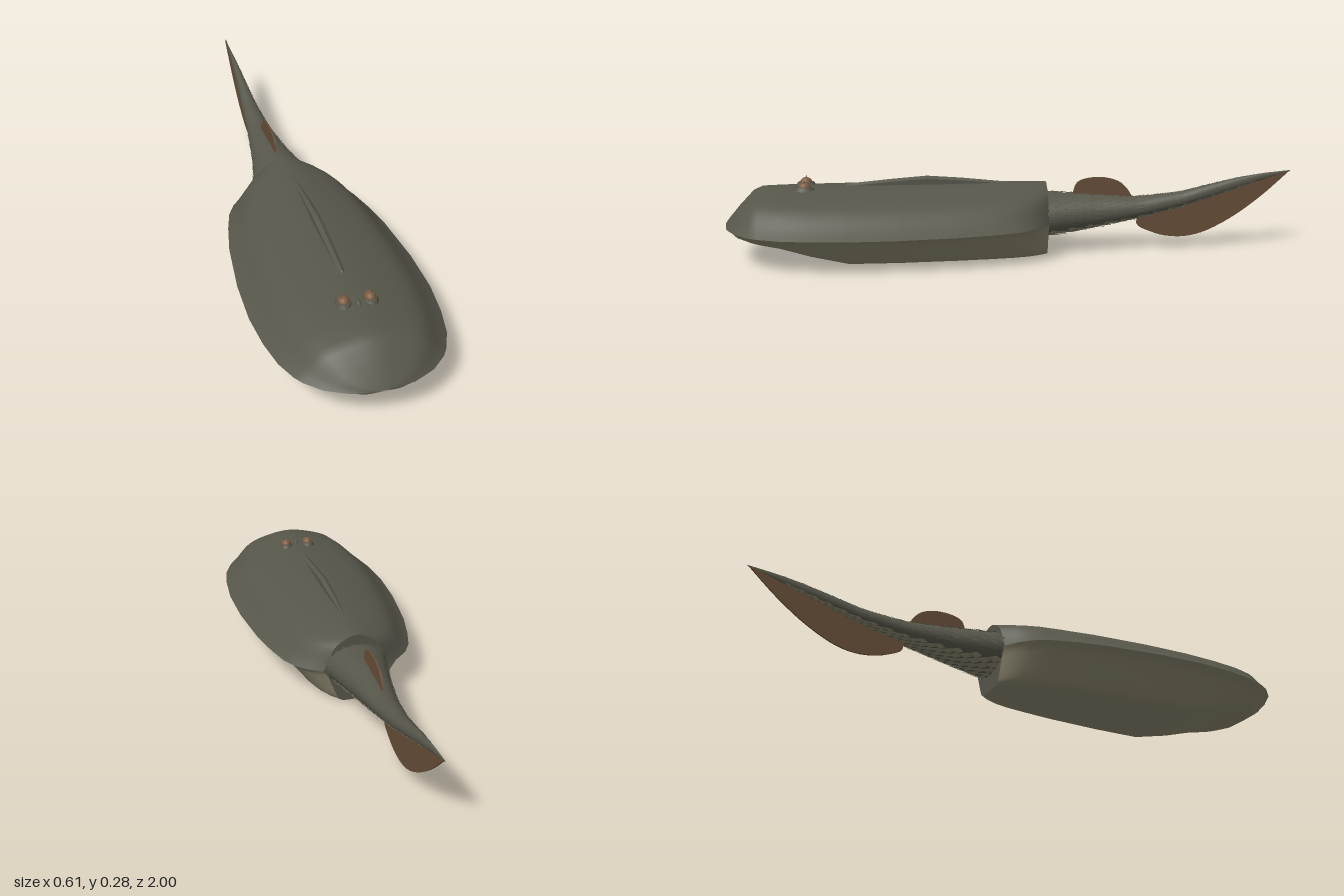
import * as THREE from 'three';

const mat = (name, color) => {
  const m = new THREE.MeshStandardMaterial({ color, side: THREE.DoubleSide });
  m.name = name;
  return m;
};

// Skin a list of equally long cross-sections, ordered front to back
function loft(sections) {
  const n = sections[0].length, pos = [], idx = [];
  sections.forEach(s => s.forEach(p => pos.push(p.x, p.y, p.z)));
  for (let i = 0; i < sections.length - 1; i++) {
    for (let j = 0; j < n - 1; j++) {
      const a = i * n + j, b = a + 1, c = a + n, d = c + 1;
      idx.push(a, b, c, b, d, c);
    }
  }
  const g = new THREE.BufferGeometry();
  g.setAttribute('position', new THREE.Float32BufferAttribute(pos, 3));
  g.setIndex(idx);
  g.computeVertexNormals();
  return g;
}

const RIM = 0.123, BACK = -0.12;
// Shield stations: z, half width, height above the rim, depth below the rim
const STATIONS = [
  [0.997, 0.02, 0.002, 0.002], [0.985, 0.1, 0.018, 0.014], [0.95, 0.172, 0.06, 0.034],
  [0.9, 0.224, 0.113, 0.047], [0.87, 0.243, 0.126, 0.053], [0.8, 0.272, 0.127, 0.064],
  [0.7, 0.292, 0.127, 0.093], [0.57, 0.304, 0.127, 0.122], [0.4, 0.3, 0.127, 0.123],
  [0.2, 0.278, 0.127, 0.123], [0.08, 0.253, 0.127, 0.123], [0, 0.23, 0.127, 0.123],
  [-0.05, 0.203, 0.127, 0.123], [-0.09, 0.165, 0.127, 0.123], [BACK, 0.12, 0.127, 0.123],
];
// Half profiles as fractions of width and height, from rim to midline
const TOP = [[1, 0], [0.89, 0.2], [0.66, 0.66], [0.33, 0.9], [0, 1]];
const BELLY = [[1, 0], [0.88, -0.13], [0.75, -0.43], [0.58, -0.85], [0.48, -0.96], [0.36, -1], [0, -1]];

function halfShell(profile, side, heightIndex) {
  const mirrored = profile.slice(0, -1).reverse().map(([x, y]) => [-x, y]);
  const pts = new THREE.SplineCurve([...profile, ...mirrored].map(p => new THREE.Vector2(...p))).getPoints(40);
  return STATIONS.map(s => pts.map(p =>
    new THREE.Vector3(side * p.x * s[1], RIM + p.y * s[heightIndex], s[0])));
}

// Tail stations: z, half width, bottom, top
const TAIL = [
  [-0.08, 0.118, 0.055, 0.212], [-0.2, 0.088, 0.07, 0.206], [-0.3, 0.066, 0.085, 0.198],
  [-0.45, 0.044, 0.113, 0.188], [-0.6, 0.028, 0.148, 0.203], [-0.7, 0.02, 0.178, 0.227],
  [-0.8, 0.013, 0.21, 0.25], [-0.9, 0.006, 0.242, 0.267], [-1, 0.001, 0.272, 0.276],
];
function tailPoint(z, angle, lift = 0) {
  let i = 0;
  while (i < TAIL.length - 2 && z < TAIL[i + 1][0]) i++;
  const a = TAIL[i], b = TAIL[i + 1];
  const t = THREE.MathUtils.clamp((z - a[0]) / (b[0] - a[0]), 0, 1);
  const [w, lo, hi] = [1, 2, 3].map(k => THREE.MathUtils.lerp(a[k], b[k], t));
  return new THREE.Vector3(
    (w + lift) * Math.cos(angle), (lo + hi) / 2 + ((hi - lo) / 2 + lift) * Math.sin(angle), z);
}

// Overlapping pointed scales; keep() picks which angles to cover
function scales(keep) {
  const pos = [], around = 22, step = Math.PI * 2 / around;
  for (let row = 0, z = -0.1; z > -0.88; row++) {
    const size = THREE.MathUtils.lerp(0.036, 0.02, -z), lift = 0.008 * (1 + z);
    for (let k = 0; k < around; k++) {
      const a = (k + (row % 2) / 2) * step;
      if (!keep(a)) continue;
      const front = tailPoint(z + size * 0.6, a), tip = tailPoint(z - size, a, lift);
      const l = tailPoint(z, a + step * 0.55, lift * 0.4), r = tailPoint(z, a - step * 0.55, lift * 0.4);
      for (const p of [front, l, tip, front, tip, r]) pos.push(p.x, p.y, p.z);
    }
    z -= size;
  }
  const g = new THREE.BufferGeometry();
  g.setAttribute('position', new THREE.Float32BufferAttribute(pos, 3));
  g.computeVertexNormals();
  return g;
}

// Thin upright fin from a smooth outline of [z, y] points and a base line
function fin(edge, base) {
  const curve = new THREE.SplineCurve(edge.map(p => new THREE.Vector2(...p))).getPoints(30);
  const shape = new THREE.Shape([...curve, ...base.map(p => new THREE.Vector2(...p))]);
  const g = new THREE.ExtrudeGeometry(shape, { depth: 0.006, bevelEnabled: false });
  return g.translate(0, 0, -0.003).rotateY(-Math.PI / 2);
}

export function createModel() {
  const model = new THREE.Group();
  const dorsal = mat('dark olive armour', 0x56564a);
  const pale = mat('pale belly', 0x89836c);
  const brown = mat('brown fin', 0x654d38);
  const eyeBrown = mat('eye brown', 0x7a5a40);
  const add = (name, geometry, material, parent = model) => {
    const mesh = new THREE.Mesh(geometry, material);
    mesh.name = name;
    parent.add(mesh);
    return mesh;
  };

  // Head shield
  const upper = halfShell(TOP, -1, 2), lower = halfShell(BELLY, 1, 3);
  add('upperShield', loft(upper), dorsal);
  add('lowerShield', loft(lower), pale);
  const rear = [...upper.at(-1), ...lower.at(-1).slice(1, -1)].map(p => new THREE.Vector2(p.x, p.y));
  add('shieldRear', new THREE.ShapeGeometry(new THREE.Shape(rear)).translate(0, 0, BACK), dorsal);

  // Crest along the back: z, half width, top
  const crest = [[0.58, 0.009, 0.253], [0.575, 0.01, 0.256], [0.42, 0.013, 0.27], [0.3, 0.014, 0.279],
    [0.18, 0.011, 0.27], [0, 0.003, 0.251]];
  const crestGeometry = loft(crest.map(([z, w, y]) => [[-w, 0.245], [-w, y - 0.008], [0, y], [w, y - 0.008], [w, 0.245]]
    .map(p => new THREE.Vector3(p[0], Math.max(p[1], 0.245), z)))).toNonIndexed();
  crestGeometry.computeVertexNormals();
  add('backCrest', crestGeometry, dorsal);

  // Eyes in raised sockets
  for (const side of [-1, 1]) {
    const eye = new THREE.Group();
    eye.name = side > 0 ? 'leftEye' : 'rightEye';
    eye.position.set(side * 0.043, 0.246, 0.72);
    const socket = add('eyeSocket', new THREE.CylinderGeometry(0.021, 0.027, 0.013, 20), dorsal, eye);
    socket.position.y = 0.003;
    socket.scale.z = 1.35;
    const ball = add('eyeball', new THREE.SphereGeometry(0.019, 20, 12), eyeBrown, eye);
    ball.position.y = 0.007;
    ball.scale.z = 1.15;
    const bump = add('eyeBump', new THREE.ConeGeometry(0.003, 0.009, 6), dorsal, eye);
    bump.position.set(side * 0.006, 0.028, 0);
    model.add(eye);
  }
  const knob = add('foreheadKnob', new THREE.SphereGeometry(0.009, 12, 8), dorsal);
  knob.position.set(0, 0.249, 0.735);
  knob.scale.z = 1.8;

  // Scaled tail
  const rings = [];
  for (let i = 0; i <= 32; i++) {
    const z = -0.08 - 0.92 * i / 32;
    rings.push(Array.from({ length: 25 }, (_, j) => tailPoint(z, Math.PI - j / 24 * Math.PI * 2)));
  }
  add('tail', loft(rings), dorsal);
  const isBelly = a => Math.sin(a) < -0.62;
  add('tailScales', scales(a => !isBelly(a)), dorsal);
  add('tailBellyScales', scales(isBelly), pale);

  // Fins
  add('dorsalFin', fin(
    [[-0.215, 0.2], [-0.23, 0.243], [-0.27, 0.26], [-0.33, 0.261], [-0.38, 0.246], [-0.41, 0.22], [-0.43, 0.187]],
    [[-0.35, 0.18], [-0.25, 0.19]]), brown);
  add('tailFin', fin(
    [[-0.45, 0.12], [-0.45, 0.085], [-0.5, 0.06], [-0.55, 0.045], [-0.62, 0.041], [-0.7, 0.06],
      [-0.8, 0.113], [-0.9, 0.187], [-0.995, 0.273]],
    [[-0.9, 0.25], [-0.8, 0.225], [-0.7, 0.195], [-0.6, 0.17], [-0.5, 0.145]]), brown);

  return model;
}
